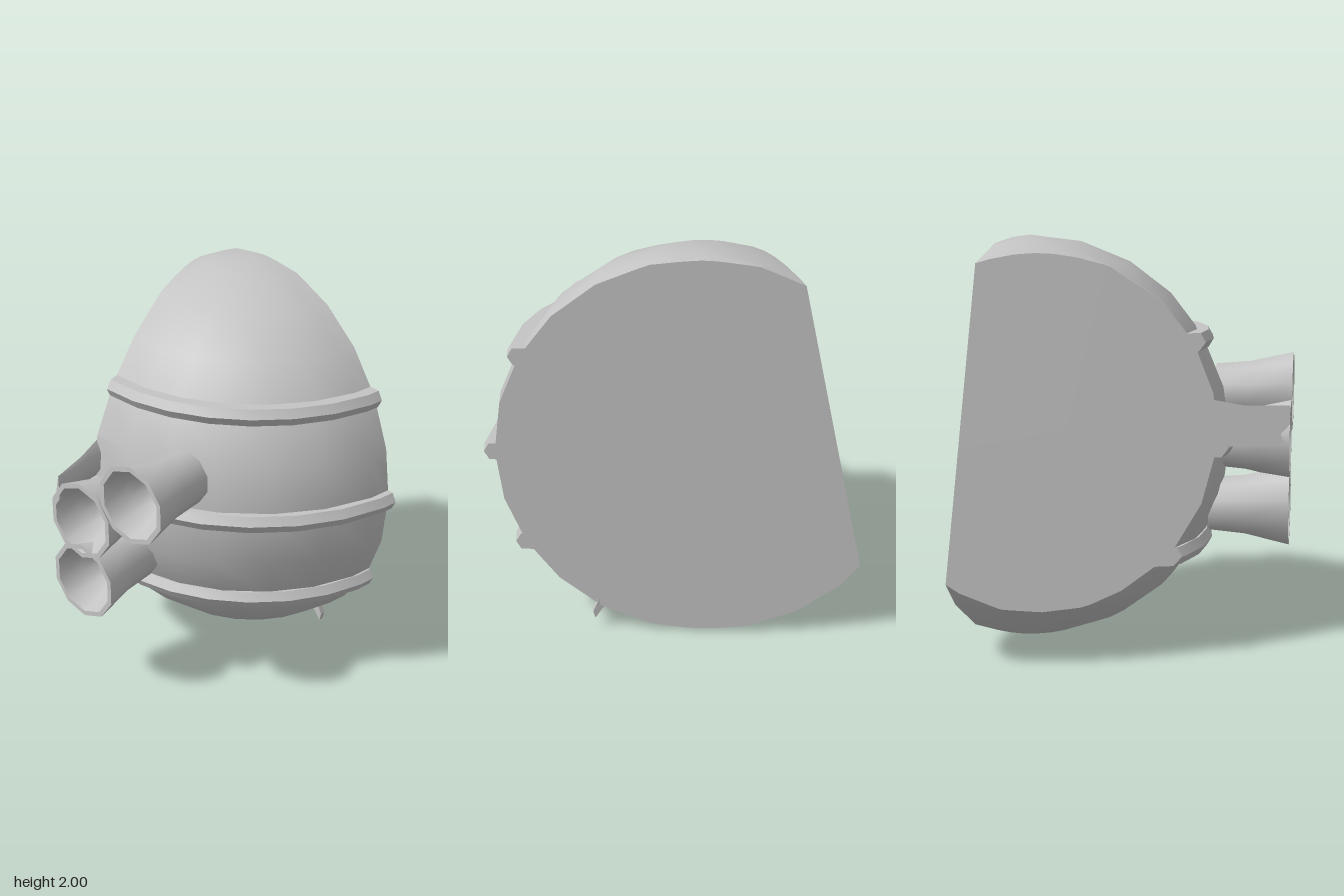
import * as THREE from 'three';
import { toCreasedNormals } from 'three/addons/utils/BufferGeometryUtils.js';

const CENTRE = new THREE.Vector3(-0.15, 1, -0.52);

// The two slicing planes; the side their normals point to is kept.
const slices = [
  new THREE.Plane(new THREE.Vector3(-0.2255, -0.012, 1), 0.582).normalize(),
  new THREE.Plane(new THREE.Vector3(1, -0.2, -0.2895), 0.756).normalize(),
];

// Flat cap closing a convex cut.
function capPolygons(points, plane) {
  if (points.length < 3) return [];
  const mid = points.reduce((s, p) => s.add(p), new THREE.Vector3()).divideScalar(points.length);
  const out = plane.normal.clone().negate();
  const u = new THREE.Vector3(0, 1, 0).cross(out).normalize();
  const v = out.clone().cross(u);
  const rim = points
    .map((p) => {
      const d = p.clone().sub(mid);
      return { p, a: Math.atan2(d.dot(v), d.dot(u)) };
    })
    .sort((a, b) => a.a - b.a)
    .filter((e, i, all) => i === 0 || e.a - all[i - 1].a > 1e-5);
  return rim.map((e, i) => [mid.clone(), e.p.clone(), rim[(i + 1) % rim.length].p.clone()]);
}

// Cuts a closed solid with the planes and caps it.
function slice(source, crease) {
  const geo = source.index ? source.toNonIndexed() : source;
  const pos = geo.attributes.position;
  let polys = [];
  for (let i = 0; i < pos.count; i += 3) {
    polys.push([0, 1, 2].map((k) => new THREE.Vector3().fromBufferAttribute(pos, i + k)));
  }
  for (const plane of slices) {
    const kept = [];
    const cut = [];
    for (const poly of polys) {
      const res = [];
      poly.forEach((a, i) => {
        const b = poly[(i + 1) % poly.length];
        const da = plane.distanceToPoint(a);
        const db = plane.distanceToPoint(b);
        if (da >= 0) res.push(a);
        if (da >= 0 !== db >= 0) {
          const p = a.clone().lerp(b, da / (da - db));
          res.push(p);
          cut.push(p);
        }
      });
      if (res.length > 2) kept.push(res);
    }
    polys = kept.concat(capPolygons(cut, plane));
  }
  const tri = new THREE.Triangle();
  const verts = [];
  for (const poly of polys) {
    for (let i = 1; i < poly.length - 1; i++) {
      tri.set(poly[0], poly[i], poly[i + 1]);
      if (tri.getArea() < 1e-9) continue;
      for (const p of [tri.a, tri.b, tri.c]) verts.push(p.x, p.y, p.z);
    }
  }
  const result = new THREE.BufferGeometry();
  result.setAttribute('position', new THREE.Float32BufferAttribute(verts, 3));
  return toCreasedNormals(result, crease);
}

const lathe = (profile, sides) =>
  new THREE.LatheGeometry(profile.map(([r, y]) => new THREE.Vector2(r, y)), sides);

export function createModel() {
  const group = new THREE.Group();
  const grey = new THREE.MeshStandardMaterial({ color: 0xc4c4c4 });
  grey.name = 'hull grey';
  const add = (name, geo) => {
    const mesh = new THREE.Mesh(geo, grey);
    mesh.name = name;
    group.add(mesh);
    return mesh;
  };

  // Sliced ball
  const ball = new THREE.SphereGeometry(1, 24, 12);
  ball.translate(CENTRE.x, CENTRE.y, CENTRE.z);
  add('body', slice(ball, 0.5));

  // Raised hexagonal bands round the ball
  [['lowerBand', 0.866, -0.5], ['middleBand', 1, 0], ['upperBand', 0.866, 0.5]].forEach(([name, r, y]) => {
    const band = lathe([[0, -0.043], [r + 0.025, -0.043], [r + 0.05, 0], [r + 0.025, 0.043], [0, 0.043]], 28);
    band.translate(CENTRE.x, CENTRE.y + y, CENTRE.z);
    add(name, slice(band, 0.6));
  });

  // Flared nozzles facing forward
  const outside = [[0, 0.385], [0.135, 0.385], [0.15, 0.56], [0.2, 0.78]];
  const bore = [[0.175, 0.78], [0.135, 0.66], [0.095, 0.56], [0, 0.56]];
  const nozzle = toCreasedNormals(lathe([...outside, ...bore], 10).rotateX(Math.PI / 2).toNonIndexed(), 0.8);
  [['upperNozzle', 0.185, 1.2], ['middleNozzle', -0.15, 1], ['lowerNozzle', -0.15, 0.67]].forEach(([name, x, y]) => {
    add(name, nozzle).position.set(x, y, 0);
  });

  // Remaining sliver of a nozzle on the sliced side
  const stub = lathe([...outside, [0, 0.78]], 10).rotateX(Math.PI / 2).translate(-0.48, 1.13, 0);
  add('slicedNozzle', slice(stub, 0.8));

  // Small spike under the ball beside the back slice
  const outline = [[0.3, 0.17], [0.345, 0.11], [0.38, 0.06], [0.39, 0.1], [0.355, 0.18]];
  const shape = new THREE.Shape(outline.map(([x, y]) => new THREE.Vector2(x, y)));
  const spike = new THREE.ExtrudeGeometry(shape, { depth: 0.03, bevelEnabled: false });
  spike.translate(0, 0, -0.5);
  add('spike', spike);

  return group;
}
